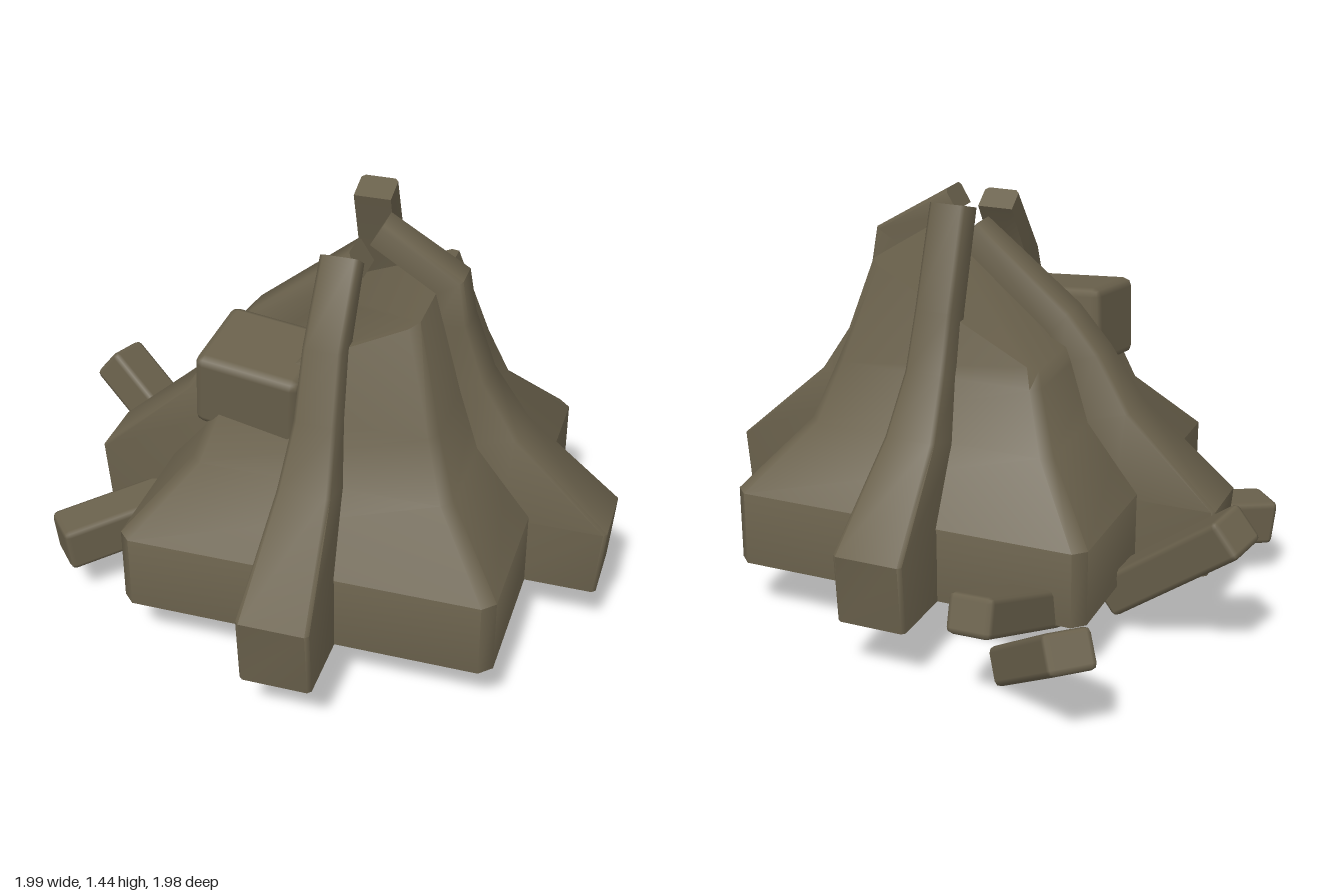
import * as THREE from 'three';
import { toCreasedNormals } from 'three/addons/utils/BufferGeometryUtils.js';
import { RoundedBoxGeometry } from 'three/addons/geometries/RoundedBoxGeometry.js';

const CX = 0.1, CZ = 0.09;   // centre of the main body

// Skin a stack of equal-length rings of [x, y, z]; optionally close the last ring.
function loft(rings, capEnd) {
  const n = rings[0].length;
  const index = [];
  for (let k = 0; k < rings.length - 1; k++) {
    for (let i = 0; i < n; i++) {
      const a = k * n + i, b = k * n + (i + 1) % n;
      index.push(a, b, b + n, a, b + n, a + n);
    }
  }
  if (capEnd) {
    const s = (rings.length - 1) * n;
    for (let i = 1; i < n - 1; i++) index.push(s, s + i, s + i + 1);
  }
  const geo = new THREE.BufferGeometry();
  geo.setAttribute('position', new THREE.Float32BufferAttribute(rings.flat(2), 3));
  geo.setIndex(index);
  return toCreasedNormals(geo, 0.85);
}

// Square ring with clipped corners, counter-clockwise from above.
function squareRing(h, c, y) {
  return [[h, h - c], [h, c - h], [h - c, -h], [c - h, -h], [-h, c - h], [-h, h - c], [c - h, h], [h - c, h]]
    .map(([x, z]) => [CX + x, y, CZ + z]);
}

// Lower rib stations: outer radius, outer y, inner radius, inner y, half width.
const ribBase = [
  [0.88, 0.22, 0.55, 0.22, 0.12],
  [0.90, 0.46, 0.55, 0.46, 0.12],
  [0.58, 0.75, 0.40, 0.70, 0.088],
  [0.46, 0.94, 0.33, 0.90, 0.070],
];

function ribGeometry(tip) {
  const rings = [...ribBase, ...tip].map(([ro, yo, ri, yi, w]) => {
    const c = 0.012;
    const t = c / Math.hypot(ro - ri, yo - yi);
    const rc = ro + (ri - ro) * t, yc = yo + (yi - yo) * t;
    return [[w - c, yo, ro], [w, yc, rc], [w, yi, ri], [-w, yi, ri], [-w, yc, rc], [c - w, yo, ro]];
  });
  return loft(rings, true);
}

export function createModel() {
  const group = new THREE.Group();
  const wood = new THREE.MeshStandardMaterial({ color: 0x6a614c, side: THREE.DoubleSide });
  wood.name = 'weathered brown';

  const add = (geo, name) => {
    const mesh = new THREE.Mesh(geo, wood);
    mesh.name = name;
    group.add(mesh);
    return mesh;
  };

  // Flared hollow body, its top broken off on a slant down towards -x
  const top = squareRing(1, 0.1, 0).map(([x, , z]) => {
    const px = 0.0625 + (x - CX) * 0.3125;
    const half = THREE.MathUtils.mapLinear(px, -0.25, 0.375, 0.345, 0.275);
    return [px, 1.24 + 0.46 * (px - 0.375), CZ + (z - CZ) * half];
  });
  add(loft([
    squareRing(0.632, 0.04, 0.22),
    squareRing(0.632, 0.04, 0.48),
    squareRing(0.44, 0.035, 0.70),
    squareRing(0.37, 0.03, 0.90),
    top,
  ], true), 'body');

  // Four buttress ribs, each with its own bent tip
  const ribs = [
    ['frontRib', 0, [[0.38, 1.16, 0.27, 1.13, 0.065], [0.20, 1.40, 0.13, 1.35, 0.063]]],
    ['leftRib', Math.PI / 2, [[0.39, 1.14, 0.28, 1.12, 0.063], [0.365, 1.29, 0.28, 1.24, 0.06], [0.10, 1.45, 0.06, 1.38, 0.06]]],
    ['backRib', Math.PI, [[0.39, 1.13, 0.28, 1.10, 0.065], [0.27, 1.46, 0.17, 1.43, 0.063]]],
    ['rightRib', -Math.PI / 2, [[0.35, 1.07, 0.28, 0.99, 0.065], [0.01, 1.34, -0.04, 1.26, 0.063]]],
  ];
  for (const [name, angle, tip] of ribs) {
    const rib = add(ribGeometry(tip), name);
    rib.position.set(CX - 0.005, 0, CZ);
    rib.rotation.y = angle;
  }

  // Broken block lodged in the upper front corner
  const block = add(new RoundedBoxGeometry(0.36, 0.27, 0.31, 1, 0.03), 'lodgedBlock');
  block.position.set(-0.145, 0.945, 0.335);
  block.rotation.set(0.12, -0.08, -0.08);

  // Loose beams: outer end, inner end, width, height, roll
  const beams = [
    [[-0.85, 0.235, 0.50], [-0.36, 0.31, 0.06], 0.16, 0.16, 0],
    [[-0.95, 0.53, -0.27], [-0.49, 0.15, -0.11], 0.16, 0.14, 0.15],
    [[-0.635, 0.365, -0.92], [-0.31, 0.07, -0.575], 0.16, 0.13, 0],
    [[-0.295, 0.40, -0.90], [-0.37, 0.24, -0.46], 0.16, 0.13, 0.1],
  ];
  for (const [a, b, w, h, roll] of beams) {
    const p = new THREE.Vector3(...a), q = new THREE.Vector3(...b);
    const beam = add(new RoundedBoxGeometry(w, h, p.distanceTo(q), 1, 0.02), 'looseBeam');
    beam.position.copy(p).add(q).multiplyScalar(0.5);
    beam.lookAt(p);
    beam.rotateZ(roll);
  }
  return group;
}
